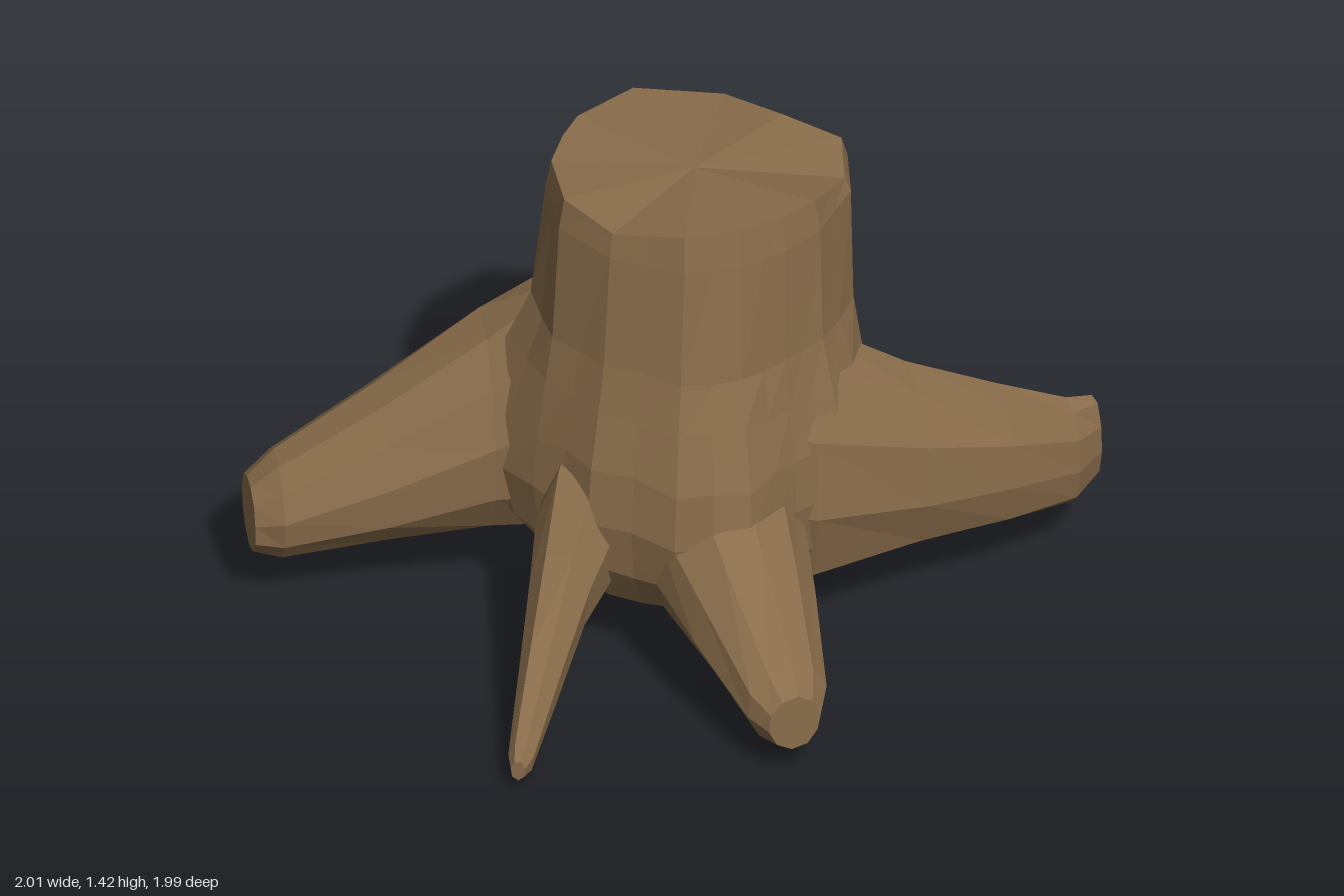
import * as THREE from 'three';

const bark = new THREE.MeshStandardMaterial({ color: 0x8a6d4b, flatShading: true });

// small repeatable noise in -1..1 for uneven bark
let seed = 7;
const noise = () => {
  seed = (seed * 16807) % 2147483647;
  return (seed / 2147483647) * 2 - 1;
};

// skin a list of equal-length rings and close both ends with fans
function loft(name, rings) {
  const n = rings[0].length;
  const pos = [], index = [];
  rings.forEach(r => r.forEach(p => pos.push(p.x, p.y, p.z)));
  for (let i = 0; i < rings.length - 1; i++) {
    for (let j = 0; j < n; j++) {
      const k = (j + 1) % n;
      const a = i * n + j, b = i * n + k, c = b + n, d = a + n;
      index.push(a, b, c, a, c, d);
    }
  }
  [0, rings.length - 1].forEach(i => {
    const mid = new THREE.Vector3();
    rings[i].forEach(p => mid.addScaledVector(p, 1 / n));
    const m = pos.length / 3;
    pos.push(mid.x, mid.y, mid.z);
    for (let j = 0; j < n; j++) {
      const a = i * n + j, b = i * n + (j + 1) % n;
      if (i) index.push(m, a, b);
      else index.push(m, b, a);
    }
  });
  const geo = new THREE.BufferGeometry();
  geo.setAttribute('position', new THREE.Float32BufferAttribute(pos, 3));
  geo.setIndex(index);
  geo.computeVertexNormals();
  const mesh = new THREE.Mesh(geo, bark);
  mesh.name = name;
  return mesh;
}

// trunk: one irregular outline, scaled at each level and flared towards the roots
function trunk() {
  // [x, z, top height]
  const corners = [
    [-0.28, -0.1, 1.4], [-0.275, 0, 1.4], [-0.25, 0.12, 1.4], [-0.13, 0.28, 1.41],
    [0.05, 0.34, 1.39], [0.26, 0.32, 1.43], [0.38, 0.22, 1.43], [0.45, 0.1, 1.42],
    [0.49, -0.02, 1.41], [0.48, -0.22, 1.36], [0.4, -0.36, 1.38], [0.22, -0.36, 1.4],
    [0.02, -0.4, 1.38], [-0.21, -0.3, 1.39]
  ];
  // add the middle of every side so the flares have room to bend
  const outline = corners.flatMap((c, i) => {
    const next = corners[(i + 1) % corners.length];
    return [c, c.map((v, k) => (v + next[k]) / 2)];
  });
  // [direction x, direction z, strength] of each root
  const flares = [[-0.85, 0.32, 0.9], [0.8, -0.15, 0.6], [0.55, 0.6, 0.65], [-0.1, 1, 0.25], [-0.1, -1, 0.6]];
  // [height, scale, forward shift, flare]; the last level follows the cut top
  const levels = [
    [0.18, 0.65, 0.03, 0], [0.23, 0.9, 0.04, 0.06], [0.36, 1.02, 0.05, 0.15],
    [0.52, 1.05, 0.05, 0.19], [0.68, 1.05, 0.04, 0.16], [0.84, 1.03, 0.03, 0.09],
    [0.98, 1.02, 0.02, 0.03], [1.32, 1.01, 0, 0], [0, 0.97, 0, 0]
  ];
  const rings = levels.map(([y, s, dz, flare]) => outline.map(([x, z, top]) => {
    const dir = new THREE.Vector2(x - 0.1, z + 0.03);
    const r = dir.length();
    dir.normalize();
    let push = 0;
    flares.forEach(([fx, fz, k]) => {
      const angle = Math.acos(THREE.MathUtils.clamp((dir.x * fx + dir.y * fz) / Math.hypot(fx, fz), -1, 1));
      push += k * Math.exp(-((angle / 0.42) ** 2));
    });
    const reach = r * s + flare * push;
    const uneven = y && y < 1.2 ? noise() * 0.012 : 0;
    return new THREE.Vector3(0.1 + dir.x * reach, (y || top) + uneven, -0.03 + dir.y * reach + dz);
  }));
  return loft('trunk', rings);
}

// root: upright oval sections [x, y, z, half width, half height] from trunk to tip
function root(name, sections, sides) {
  const rings = sections.map(([x, y, z, w, h], i) => {
    const p = sections[Math.max(i - 1, 0)];
    const q = sections[Math.min(i + 1, sections.length - 1)];
    const t = new THREE.Vector3(q[0] - p[0], 0, q[2] - p[2]).normalize();
    return Array.from({ length: sides }, (_, j) => {
      const a = (j + 0.3) / sides * Math.PI * 2;
      const k = 1.03 + noise() * 0.04;
      const u = Math.cos(a) * w * k;
      return new THREE.Vector3(x + t.z * u, y + Math.sin(a) * h * k, z - t.x * u);
    });
  });
  return loft(name, rings);
}

export function createModel() {
  seed = 7;
  const stump = new THREE.Group();
  stump.name = 'treeStump';
  stump.add(
    trunk(),
    root('frontRightRoot', [
      [0.05, 0.62, -0.06, 0.24, 0.38], [-0.23, 0.6, 0.01, 0.28, 0.39],
      [-0.43, 0.52, 0.14, 0.24, 0.3], [-0.66, 0.4, 0.31, 0.19, 0.215],
      [-0.88, 0.3, 0.47, 0.145, 0.145], [-0.94, 0.28, 0.515, 0.1, 0.1]
    ], 11),
    root('backLeftRoot', [
      [0.2, 0.6, 0.04, 0.22, 0.4], [0.42, 0.55, -0.07, 0.23, 0.38],
      [0.63, 0.47, -0.27, 0.165, 0.28], [0.8, 0.41, -0.46, 0.12, 0.21],
      [0.93, 0.36, -0.62, 0.075, 0.16], [0.97, 0.37, -0.69, 0.045, 0.13]
    ], 10),
    root('frontLeftRoot', [
      [0.12, 0.56, 0.05, 0.2, 0.36], [0.32, 0.46, 0.23, 0.22, 0.31],
      [0.51, 0.33, 0.4, 0.17, 0.2], [0.68, 0.2, 0.55, 0.11, 0.115],
      [0.73, 0.18, 0.6, 0.07, 0.08]
    ], 10),
    root('frontRoot', [
      [-0.02, 0.5, 0.2, 0.16, 0.26], [-0.01, 0.43, 0.41, 0.115, 0.21],
      [0.01, 0.34, 0.56, 0.085, 0.14], [0.05, 0.2, 0.76, 0.058, 0.09],
      [0.09, 0.08, 0.95, 0.034, 0.05], [0.1, 0.07, 0.99, 0.02, 0.03]
    ], 7),
    root('backRoot', [
      [0.16, 0.58, -0.12, 0.23, 0.36], [0.07, 0.53, -0.37, 0.23, 0.31],
      [-0.02, 0.41, -0.54, 0.145, 0.185], [-0.2, 0.27, -0.71, 0.085, 0.13],
      [-0.4, 0.16, -0.83, 0.07, 0.095], [-0.57, 0.075, -0.93, 0.055, 0.07],
      [-0.62, 0.08, -0.97, 0.03, 0.045]
    ], 9)
  );
  return stump;
}
